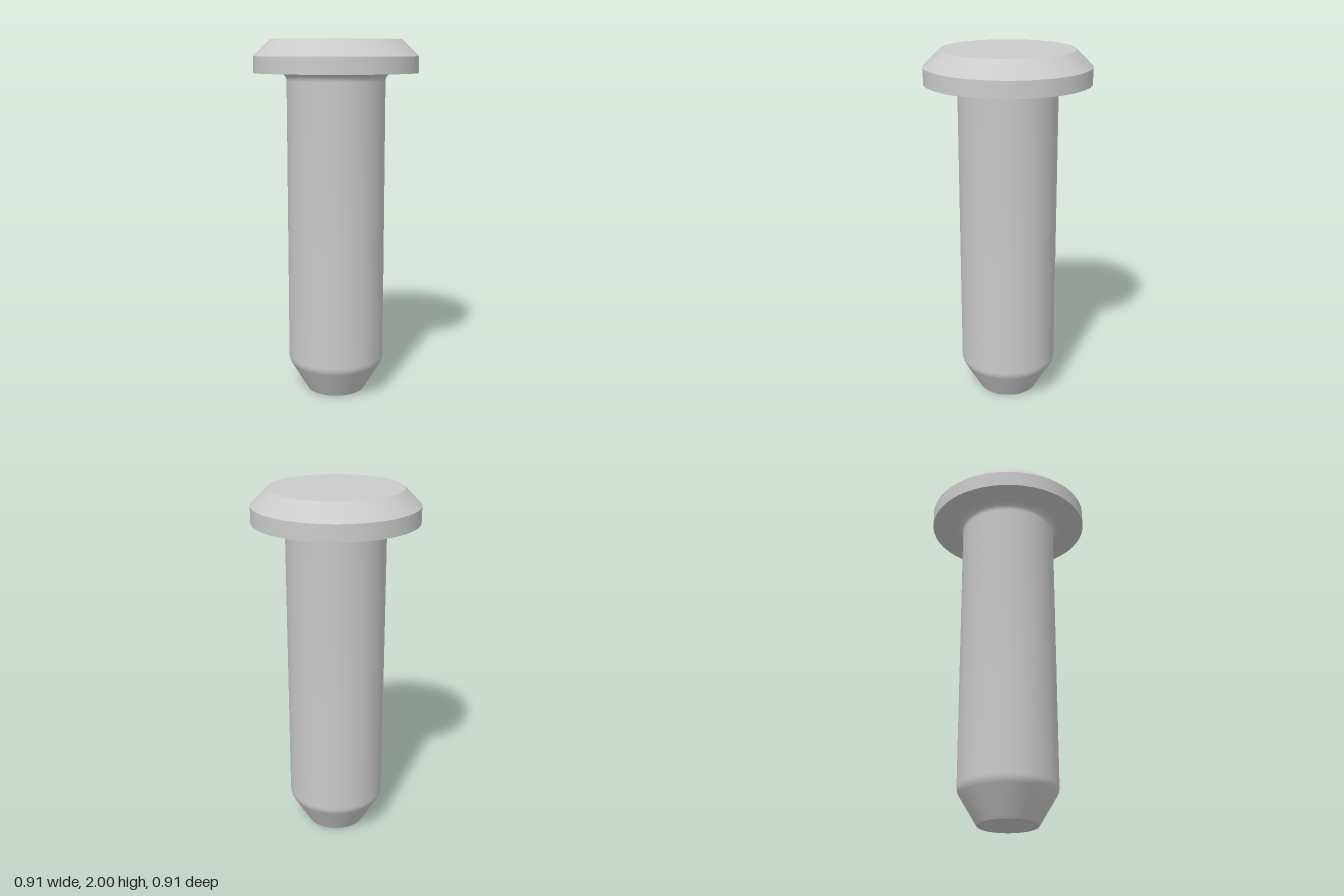
import * as THREE from 'three';
import { toCreasedNormals } from 'three/addons/utils/BufferGeometryUtils.js';

const SIDES = 96;
const SHANK_R = 0.272;
const HEAD_Y = 1.82;
const FILLET = 0.045;

const material = new THREE.MeshStandardMaterial({ color: 0xcccccc });

// Revolve a bottom-to-top profile, keeping the machined edges crisp
function turned(name, points) {
  const geometry = toCreasedNormals(new THREE.LatheGeometry(points, SIDES), 0.5);
  const mesh = new THREE.Mesh(geometry, material);
  mesh.name = name;
  return mesh;
}

export function createModel() {
  const group = new THREE.Group();
  group.name = 'headedPin';

  // Shank: flat end, tapered tip with a softened shoulder, fillet under the head
  const shank = new THREE.Path();
  shank.moveTo(0, 0);
  shank.lineTo(0.165, 0);
  shank.lineTo(0.26, 0.16);
  shank.quadraticCurveTo(SHANK_R, 0.18, SHANK_R, 0.203);
  shank.lineTo(SHANK_R, HEAD_Y - FILLET);
  shank.absarc(SHANK_R + FILLET, HEAD_Y - FILLET, FILLET, Math.PI, Math.PI / 2, true);
  group.add(turned('shank', shank.getPoints(8)));

  // Head: flat underside, straight rim, chamfer and flat top
  const head = [
    [SHANK_R + FILLET, HEAD_Y],
    [0.4535, HEAD_Y],
    [0.4535, 1.91],
    [0.363, 2],
    [0, 2],
  ].map(([r, y]) => new THREE.Vector2(r, y));
  group.add(turned('head', head));

  return group;
}
